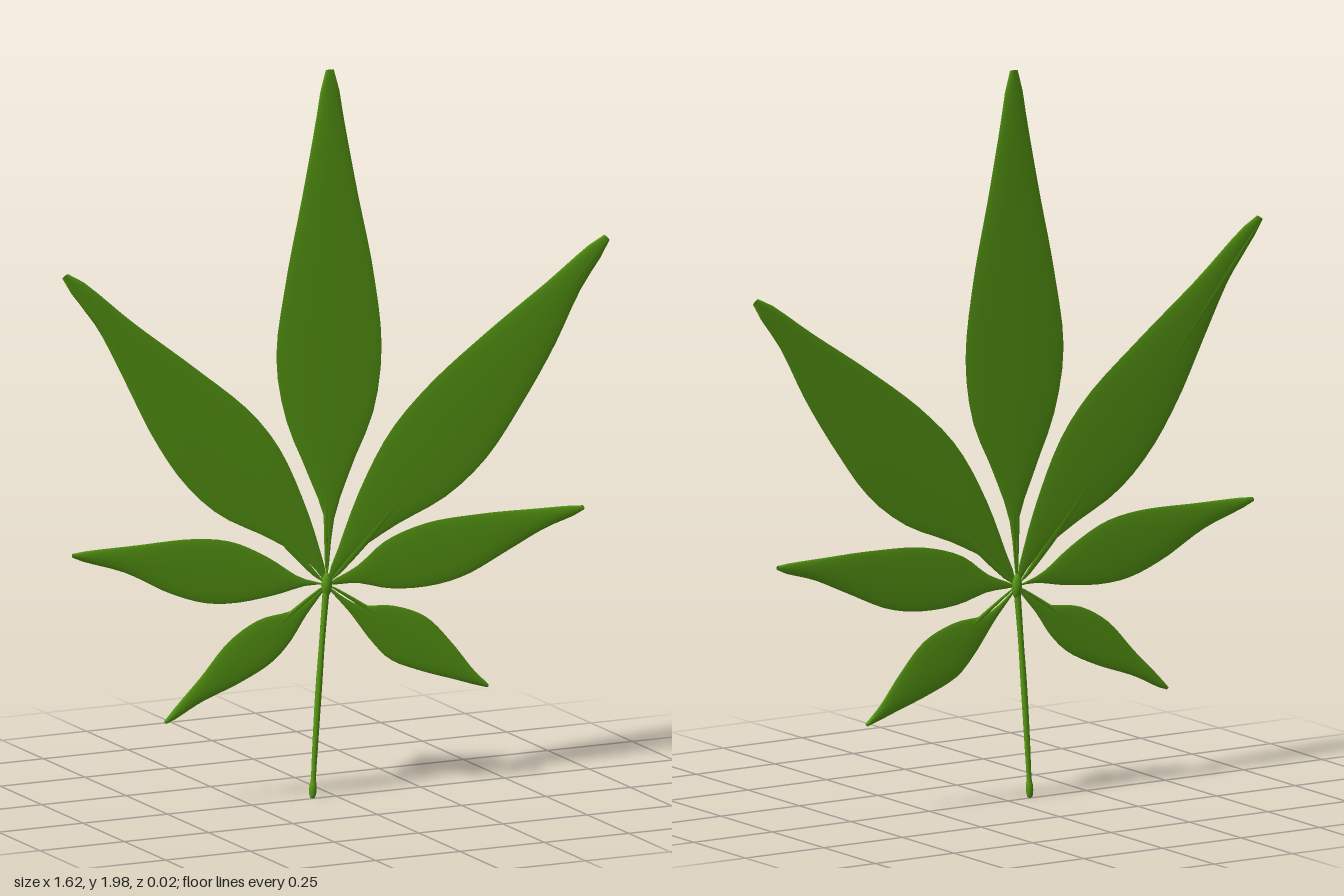
import * as THREE from 'three';

const HUB = [-0.028, 0.58];
const green = new THREE.MeshStandardMaterial({ color: 0x5a9e14 });

// Smooth edge from the hub to the tip, evenly sampled
function edge(points, tip, count) {
  const path = [HUB, ...points, tip].map(([x, y]) => new THREE.Vector3(x, y, 0));
  return new THREE.CatmullRomCurve3(path, 'centripetal').getSpacedPoints(count);
}

// Thin pillow-shaped blade between a left and a right edge (seen walking hub to tip)
function leaflet(name, tip, left, right) {
  const rows = 48, cols = 10, halfThickness = 0.005;
  const l = edge(left, tip, rows), r = edge(right, tip, rows);
  const pos = [], index = [];
  for (const side of [1, -1]) {
    const start = pos.length / 3;
    for (let i = 0; i <= rows; i++) {
      const bulge = halfThickness * Math.pow(Math.max(0, Math.sin(Math.PI * i / rows)), 0.4);
      for (let j = 0; j <= cols; j++) {
        const u = -Math.cos(Math.PI * j / cols);
        const p = l[i].clone().lerp(r[i], (u + 1) / 2);
        pos.push(p.x, p.y, side * bulge * Math.sqrt(Math.max(0, 1 - u * u)));
      }
    }
    for (let i = 0; i < rows; i++) {
      for (let j = 0; j < cols; j++) {
        const a = start + i * (cols + 1) + j, b = a + 1, c = b + cols + 1, d = c - 1;
        if (side > 0) index.push(a, b, c, a, c, d);
        else index.push(a, c, b, a, d, c);
      }
    }
  }
  const geo = new THREE.BufferGeometry();
  geo.setAttribute('position', new THREE.Float32BufferAttribute(pos, 3));
  geo.setIndex(index);
  geo.computeVertexNormals();
  const mesh = new THREE.Mesh(geo, green);
  mesh.name = name;
  return mesh;
}

// Slender stalk: a lathe bent along a gentle curve, with a rounded foot
function stem() {
  const profile = [[0, 0], [0.007, 0.004], [0.010, 0.018], [0.010, 0.035], [0.007, 0.06],
    [0.008, 0.15], [0.009, 0.3], [0.008, 0.42], [0.009, 0.52], [0.010, 0.58]];
  const curve = new THREE.SplineCurve(profile.map(p => new THREE.Vector2(...p)));
  const pts = curve.getPoints(50).map(p => new THREE.Vector2(Math.max(0, p.x), Math.max(0, p.y)));
  const geo = new THREE.LatheGeometry(pts, 16);
  const pos = geo.attributes.position;
  for (let i = 0; i < pos.count; i++) {
    const t = pos.getY(i) / 0.58;
    pos.setX(i, pos.getX(i) - 0.07 + 0.03 * t + 0.012 * t * t);
    pos.setZ(i, pos.getZ(i) * 0.85);
  }
  geo.computeVertexNormals();
  const mesh = new THREE.Mesh(geo, green);
  mesh.name = 'stem';
  return mesh;
}

export function createModel() {
  const leaf = new THREE.Group();
  leaf.name = 'leaf';

  leaf.add(leaflet('topLeaflet', [-0.019, 2.0],
    [[-0.032, 0.75], [-0.085, 0.89], [-0.148, 1.04], [-0.177, 1.21], [-0.148, 1.42], [-0.10, 1.645], [-0.063, 1.83], [-0.037, 1.965]],
    [[-0.005, 0.76], [0.048, 0.90], [0.111, 1.04], [0.135, 1.21], [0.111, 1.42], [0.063, 1.645], [0.026, 1.83], [0, 1.965]]));

  leaf.add(leaflet('upperLeftLeaflet', [0.815, 1.455],
    [[0.01, 0.685], [0.069, 0.825], [0.159, 0.977], [0.275, 1.094], [0.444, 1.22], [0.62, 1.338], [0.778, 1.446]],
    [[0.037, 0.644], [0.169, 0.718], [0.328, 0.787], [0.444, 0.877], [0.55, 1.015], [0.646, 1.163], [0.725, 1.311], [0.80, 1.417]]));

  leaf.add(leaflet('upperRightLeaflet', [-0.815, 1.505],
    [[-0.085, 0.649], [-0.20, 0.723], [-0.349, 0.803], [-0.455, 0.903], [-0.545, 1.036], [-0.624, 1.189], [-0.709, 1.348], [-0.80, 1.47]],
    [[-0.048, 0.676], [-0.10, 0.824], [-0.169, 0.967], [-0.254, 1.073], [-0.413, 1.205], [-0.598, 1.348], [-0.772, 1.491]]));

  leaf.add(leaflet('middleLeftLeaflet', [0.743, 0.718],
    [[0.063, 0.622], [0.143, 0.68], [0.265, 0.718], [0.434, 0.728], [0.593, 0.726], [0.71, 0.723]],
    [[0.063, 0.575], [0.159, 0.551], [0.275, 0.546], [0.381, 0.564], [0.513, 0.622], [0.619, 0.67], [0.72, 0.702]]));

  leaf.add(leaflet('middleRightLeaflet', [-0.79, 0.734],
    [[-0.085, 0.583], [-0.175, 0.567], [-0.296, 0.556], [-0.386, 0.564], [-0.492, 0.601], [-0.624, 0.67], [-0.762, 0.718]],
    [[-0.106, 0.607], [-0.20, 0.67], [-0.307, 0.723], [-0.413, 0.742], [-0.598, 0.742], [-0.77, 0.739]]));

  leaf.add(leaflet('lowerLeftLeaflet', [0.458, 0.252],
    [[0.063, 0.517], [0.169, 0.503], [0.265, 0.464], [0.344, 0.384], [0.407, 0.305]],
    [[0.042, 0.495], [0.106, 0.411], [0.159, 0.358], [0.249, 0.318], [0.354, 0.283], [0.423, 0.26]]));

  leaf.add(leaflet('lowerRightLeaflet', [-0.513, 0.246],
    [[-0.09, 0.50], [-0.138, 0.432], [-0.19, 0.384], [-0.28, 0.339], [-0.402, 0.294], [-0.487, 0.252]],
    [[-0.122, 0.522], [-0.228, 0.503], [-0.317, 0.453], [-0.402, 0.363], [-0.487, 0.278]]));

  leaf.add(stem());

  // Small knot where the leaflets meet
  const hub = new THREE.Mesh(new THREE.SphereGeometry(1, 20, 14), green);
  hub.name = 'hub';
  hub.scale.set(0.015, 0.033, 0.012);
  hub.position.set(...HUB, 0);
  leaf.add(hub);

  return leaf;
}
